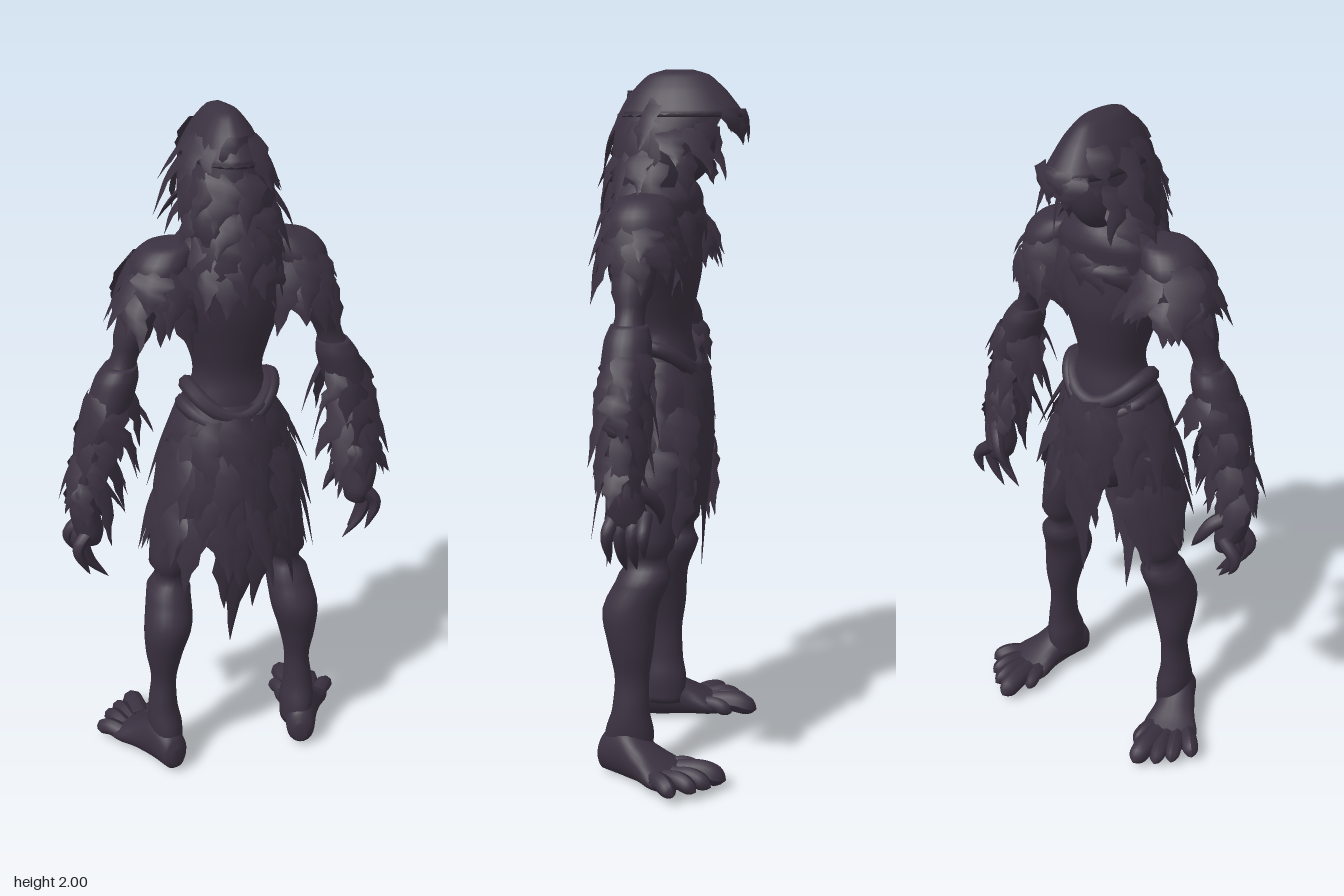
import * as THREE from 'three';
import { mergeGeometries } from 'three/addons/utils/BufferGeometryUtils.js';

const material = new THREE.MeshStandardMaterial({ color: 0x3a3140, side: THREE.DoubleSide });
material.name = 'dark dusk purple';

let seed = 7;
const rnd = () => (seed = (seed * 16807) % 2147483647) / 2147483647;
const vary = (v, k = 0.3) => v * (1 + (rnd() * 2 - 1) * k);
const V = (x, y, z) => new THREE.Vector3(x, y, z);

function build(pos, idx) {
  const g = new THREE.BufferGeometry();
  g.setAttribute('position', new THREE.Float32BufferAttribute(pos, 3));
  g.setIndex(idx);
  g.computeVertexNormals();
  return g;
}

// Smooth skin through horizontal ellipses [x, y, z, rx, rz], listed top to bottom; angle 0 is +z.
function loft(rings, { s = 1, arc = Math.PI, cap = true, seg = 24, steps = 4 } = {}) {
  const centre = new THREE.CatmullRomCurve3(rings.map(r => V(r[0] * s, r[1], r[2])));
  const radius = new THREE.CatmullRomCurve3(rings.map(r => V(r[3], r[4], 0)));
  const rows = (rings.length - 1) * steps, full = arc >= Math.PI, n = full ? seg : seg + 1;
  const pos = [], idx = [];
  for (let i = 0; i <= rows; i++) {
    const c = centre.getPoint(i / rows), r = radius.getPoint(i / rows);
    for (let j = 0; j < n; j++) {
      const a = -arc + (2 * arc * j) / seg;
      pos.push(c.x + Math.sin(a) * r.x, c.y, c.z + Math.cos(a) * r.y);
    }
  }
  for (let i = 0; i < rows; i++) for (let j = 0; j < seg; j++) {
    const a = i * n + j, b = i * n + (j + 1) % n;
    idx.push(a, a + n, b, b, a + n, b + n);
  }
  if (cap && full) [0, rows].forEach(i => {
    const c = centre.getPoint(i / rows), k = pos.length / 3;
    pos.push(c.x, c.y, c.z);
    for (let j = 0; j < n; j++) {
      const a = i * n + j, b = i * n + (j + 1) % n;
      i ? idx.push(k, b, a) : idx.push(k, a, b);
    }
  });
  return build(pos, idx);
}

// Tube that closes to a tip; a high power gives a blunt end, a low one a claw.
function digit(points, r, power) {
  const path = new THREE.CatmullRomCurve3(points), n = 14, seg = 8;
  const g = new THREE.TubeGeometry(path, n, r, seg), p = g.attributes.position, v = V();
  for (let i = 0; i < p.count; i++) {
    const t = Math.floor(i / (seg + 1)) / n, c = path.getPointAt(t);
    v.fromBufferAttribute(p, i).sub(c).multiplyScalar(1 - t ** power).add(c);
    p.setXYZ(i, v.x, v.y, v.z);
  }
  g.computeVertexNormals();
  return g;
}

// One torn strip from base to tip, ridged along the middle, with a barb partway and a hooked point.
const barbs = [0.8, 1, 1.05, 0.7, 0.8, 0.38, 0.22, 0];
function rag(base, out, tip, w) {
  const d = tip.clone().sub(base), side = d.clone().cross(out).normalize();
  const pos = [], idx = [], lean = (rnd() - 0.5) * w;
  barbs.forEach((b, i) => {
    const t = i / (barbs.length - 1);
    for (let j = -1; j <= 1; j++) {
      const p = base.clone().addScaledVector(d, t)
        .addScaledVector(side, j * w * vary(b, 0.15) + lean * Math.sin(t * 5))
        .addScaledVector(out, (j ? -0.3 * w : 0.15 * w) * (1 - t) + 0.15 * w * Math.sin(t * 4));
      pos.push(p.x, p.y, p.z);
    }
    if (i) for (let j = 0; j < 2; j++) {
      const a = (i - 1) * 3 + j;
      idx.push(a, a + 1, a + 3, a + 1, a + 4, a + 3);
    }
  });
  return build(pos, idx);
}

// Row of strips hanging around an ellipse, between two angles.
function ragRow(x, y, z, rx, rz, from, to, count, len, w, flare, s = 1) {
  return Array.from({ length: count }, (_, i) => {
    const a = from + (to - from) * (i + 0.5 + (rnd() - 0.5) * 0.5) / count;
    const out = V(Math.sin(a) * s, 0, Math.cos(a));
    const base = V((x + Math.sin(a) * rx) * s, y + (rnd() - 0.5) * 0.03, z + Math.cos(a) * rz);
    const spread = vary(flare, 0.5);
    const tip = base.clone().add(V(out.x * spread, -vary(len), out.z * spread * 0.7));
    return rag(base, out, tip, vary(w, 0.2));
  });
}

export function createModel() {
  const model = new THREE.Group();
  model.name = 'raggedFigure';
  const add = (name, g) => {
    const mesh = new THREE.Mesh(Array.isArray(g) ? mergeGeometries(g) : g, material);
    mesh.name = name;
    model.add(mesh);
  };
  const PI = Math.PI;

  // Torso with narrow waist, and neck
  add('torso', loft([[0, 1.8, -0.01, 0.045, 0.05], [0, 1.7, 0.03, 0.055, 0.06], [0, 1.65, 0.04, 0.13, 0.085],
    [0, 1.57, 0.035, 0.18, 0.11], [0, 1.47, 0.03, 0.162, 0.115], [0, 1.37, 0.03, 0.122, 0.1],
    [0, 1.28, 0.03, 0.098, 0.086], [0, 1.2, 0.03, 0.12, 0.1], [0, 1.08, 0.03, 0.155, 0.115], [0, 0.94, 0.03, 0.13, 0.1],
    [0, 0.86, 0.035, 0.06, 0.07]]));

  // Head and hood, open on the -z side
  add('head', new THREE.SphereGeometry(1, 20, 14).scale(0.085, 0.125, 0.095).translate(0, 1.81, -0.03));
  add('hoodCap', loft([[0, 1.998, -0.02, 0.01, 0.04], [0, 1.985, -0.02, 0.038, 0.085], [0, 1.94, -0.022, 0.075, 0.135],
    [0, 1.87, -0.028, 0.11, 0.185]]));
  add('hoodDrape', loft([[0, 1.88, -0.025, 0.105, 0.178], [0, 1.8, 0.01, 0.126, 0.155], [0, 1.72, 0.035, 0.128, 0.135],
    [0, 1.64, 0.05, 0.11, 0.115]], { arc: 2.2 }));
  add('hoodRags', [
    ...ragRow(0, 1.93, -0.02, 0.08, 0.14, -2.6, 2.6, 9, 0.14, 0.042, 0.07),
    ...ragRow(0, 1.89, -0.03, 0.1, 0.172, 2.6, 3.68, 5, 0.08, 0.04, 0.02),
    ...ragRow(0, 1.85, -0.01, 0.11, 0.16, -2.4, 2.4, 11, 0.14, 0.04, 0.06),
    ...ragRow(0, 1.77, 0.02, 0.122, 0.145, -2.3, 2.3, 11, 0.13, 0.038, 0.055),
    ...ragRow(0, 1.7, 0.04, 0.112, 0.135, -1.9, 1.9, 9, 0.15, 0.038, 0.05)]);

  // Shawl round the neck, drooping over the chest and back
  add('shawl', loft([[0, 1.71, 0.03, 0.07, 0.08], [0, 1.685, 0.03, 0.115, 0.105], [0, 1.64, 0.035, 0.16, 0.122],
    [0, 1.58, 0.035, 0.162, 0.12]], { cap: false }));
  add('shawlRags', [
    ...ragRow(0, 1.61, 0.035, 0.162, 0.12, -PI, PI, 14, 0.11, 0.042, 0.025),
    ...ragRow(0, 1.64, 0.045, 0.1, 0.13, -0.9, 0.9, 5, 0.15, 0.042, 0.06)]);

  // Skirt, open on the -z side where a loincloth hangs
  add('skirt', loft([[0, 1.2, 0.03, 0.125, 0.105], [0, 1.12, 0.035, 0.165, 0.13], [0, 0.98, 0.035, 0.19, 0.14],
    [0, 0.86, 0.035, 0.195, 0.138]], { arc: 2.4 }));
  add('skirtRags', [
    ...ragRow(0, 1.17, 0.035, 0.14, 0.12, -2.6, 2.6, 11, 0.23, 0.048, 0.09),
    ...ragRow(0, 1.07, 0.035, 0.175, 0.135, -2.5, 2.5, 12, 0.24, 0.048, 0.07),
    ...ragRow(0, 0.97, 0.035, 0.19, 0.14, -2.45, 2.45, 12, 0.24, 0.048, 0.065),
    ...ragRow(0, 0.88, 0.035, 0.192, 0.136, -2.4, 2.4, 13, 0.22, 0.046, 0.04)]);
  add('loincloth', [
    ...ragRow(0, 1.17, 0.02, 0.13, 0.122, 2.5, 3.78, 5, 0.26, 0.05, 0.03),
    ...ragRow(0, 1.04, 0.02, 0.14, 0.128, 2.7, 3.58, 4, 0.3, 0.05, 0),
    rag(V(0.01, 1.1, -0.105), V(0, 0, -1), V(0.03, 0.58, -0.1), 0.055)]);
  add('hangingTails', [
    rag(V(0, 0.9, 0.15), V(0, 0, 1), V(0, 0.4, 0.1), 0.055),
    rag(V(-0.06, 0.88, 0.16), V(0, 0, 1), V(-0.04, 0.56, 0.16), 0.05),
    rag(V(0.06, 0.88, 0.16), V(0, 0, 1), V(0.06, 0.53, 0.13), 0.05)]);

  // Sash riding high on the hips and dipping at the middle, with a second diagonal wrap
  [[0, 0.024], [0.03, 0.02]].forEach(([tilt, r], k) => {
    const pts = Array.from({ length: 16 }, (_, i) => {
      const a = (i / 16) * 2 * PI;
      return V(Math.sin(a) * (0.115 + k * 0.015), 1.2 - k * 0.025 - 0.035 * Math.cos(2 * a) + tilt * Math.sin(a),
        0.03 + Math.cos(a) * (0.1 + k * 0.008));
    });
    add(k ? 'diagonalSash' : 'waistSash', new THREE.TubeGeometry(new THREE.CatmullRomCurve3(pts, true), 48, r, 8, true));
  });

  for (const s of [1, -1]) {
    const side = s > 0 ? 'left' : 'right';

    // Leg with a full calf and thin ankle
    add(side + 'Leg', loft([[0.11, 1.02, 0.03, 0.08, 0.09], [0.14, 0.82, 0.03, 0.085, 0.096], [0.175, 0.68, 0.03, 0.064, 0.076],
      [0.185, 0.6, 0.035, 0.064, 0.076], [0.198, 0.5, 0.075, 0.071, 0.08], [0.212, 0.39, 0.07, 0.054, 0.066],
      [0.215, 0.29, 0.067, 0.037, 0.05], [0.22, 0.2, 0.07, 0.044, 0.055], [0.215, 0.13, 0.075, 0.05, 0.072],
      [0.212, 0.06, 0.08, 0.046, 0.072]], { s }));

    // Foot: lofted heel to toe, then laid down and turned outwards
    const foot = loft([[0, 0, -0.055, 0.02, 0.03], [0, -0.02, -0.065, 0.043, 0.058], [0, -0.09, -0.08, 0.052, 0.078],
      [0, -0.16, -0.06, 0.066, 0.057], [0, -0.22, -0.043, 0.086, 0.038], [0, -0.27, -0.032, 0.08, 0.025]]);
    add(side + 'Foot', foot.rotateX(PI / 2).rotateY(-s * 0.36).translate(0.198 * s, 0, 0.165));
    add(side + 'Toes', [[0.23, -0.04, 0.21, -0.145, 0.024], [0.255, -0.08, 0.257, -0.218, 0.034], [0.285, -0.07, 0.312, -0.185, 0.026],
      [0.31, -0.05, 0.35, -0.15, 0.025], [0.325, -0.02, 0.392, -0.095, 0.026]].map(([x, z, tx, tz, r]) =>
      digit([V(x * s, 0.045, z), V((x + tx) / 2 * s, 0.05, (z + tz) / 2), V(tx * s, 0.03, tz)], r, 9)));

    // Sloping shoulder mantle with strips flaring outwards
    add(side + 'Mantle', loft([[0.14, 1.668, 0.04, 0.02, 0.03], [0.16, 1.655, 0.04, 0.07, 0.068], [0.188, 1.61, 0.04, 0.085, 0.096],
      [0.205, 1.55, 0.04, 0.08, 0.103], [0.222, 1.5, 0.04, 0.07, 0.095]], { s }));
    add(side + 'MantleRags', [
      ...ragRow(0.185, 1.61, 0.04, 0.08, 0.092, -1, 4.1, 8, 0.14, 0.045, 0.08, s),
      ...ragRow(0.205, 1.55, 0.04, 0.078, 0.1, -1.2, 4.3, 10, 0.14, 0.043, 0.06, s)]);

    // Arm with ragged forearm wrap
    add(side + 'Arm', loft([[0.205, 1.62, 0.04, 0.05, 0.06], [0.235, 1.53, 0.04, 0.058, 0.066], [0.275, 1.41, 0.045, 0.05, 0.056],
      [0.322, 1.29, 0.045, 0.05, 0.056], [0.362, 1.19, 0.045, 0.053, 0.06], [0.4, 1.07, 0.04, 0.045, 0.05],
      [0.422, 0.95, 0.035, 0.034, 0.038], [0.425, 0.89, 0.03, 0.042, 0.05], [0.415, 0.83, 0.025, 0.042, 0.056],
      [0.41, 0.79, 0.02, 0.03, 0.045]], { s }));
    add(side + 'ForearmWrap', loft([[0.308, 1.33, 0.045, 0.045, 0.05], [0.322, 1.29, 0.045, 0.06, 0.064], [0.345, 1.22, 0.045, 0.063, 0.068],
      [0.372, 1.14, 0.045, 0.06, 0.064], [0.4, 1.05, 0.04, 0.048, 0.053]], { s }));
    add(side + 'ForearmRags', [[0.34, 1.25, 0.06, 7, 0.15], [0.37, 1.16, 0.058, 7, 0.16], [0.395, 1.07, 0.05, 7, 0.16],
      [0.415, 0.99, 0.04, 6, 0.14]].flatMap(([x, y, r, n, len]) =>
      ragRow(x, y, 0.042, r, r, -PI, PI, n, len, 0.036, 0.055, s)));

    // Clawed hand, fingers spread and curling inwards
    add(side + 'Fingers', [[0.07, 0.455, 0.425, 0.7], [0.04, 0.435, 0.365, 0.665], [0.004, 0.445, 0.395, 0.68], [-0.03, 0.465, 0.445, 0.73]].map(
      ([z, mx, tx, ty]) => digit([V(0.415 * s, 0.84, z * 0.8), V(mx * s, 0.79, z), V((mx - 0.015) * s, 0.735, z), V(tx * s, ty, z)], 0.021, 2.5)));
    add(side + 'Thumb', digit([V(0.415 * s, 0.9, 0), V(0.385 * s, 0.88, -0.03), V(0.36 * s, 0.84, -0.05), V(0.33 * s, 0.79, -0.045)], 0.022, 2.5));
  }
  return model;
}
